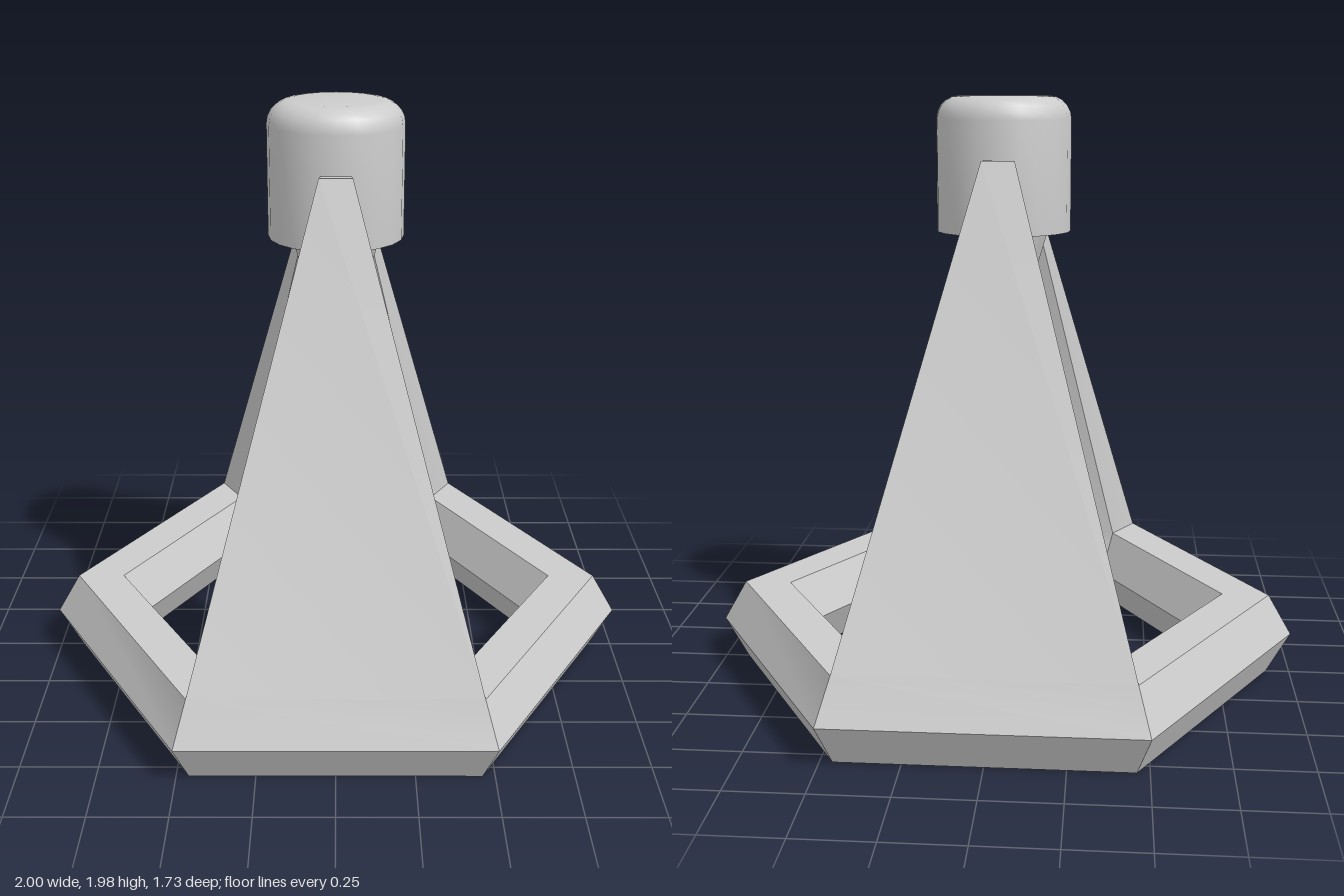
import * as THREE from 'three';
import { toCreasedNormals } from 'three/addons/utils/BufferGeometryUtils.js';

const grey = (extra = {}) => new THREE.MeshStandardMaterial({ color: 0xcccccc, ...extra });

// Hexagonal cross-section of the base ring: [radius, height], counter-clockwise from the outer edge
const SECTION = [[1, 0.14], [0.92, 0.28], [0.76, 0.28], [0.68, 0.14], [0.76, 0], [0.92, 0]];
const TOP_SIDE = 1; // side of the section that the legs grow from

function frameGeometry() {
  const positions = [];
  const quad = (a, b, c, d) => {
    for (const p of [a, b, c, a, c, d]) positions.push(...p);
  };
  const corner = (k, j) => {
    const a = (k * Math.PI) / 3;
    const [r, y] = SECTION[j % 6];
    return [r * Math.cos(a), y, r * Math.sin(a)];
  };

  for (let k = 0; k < 6; k++) {
    const hasLeg = k % 3 === 1; // front and back sides
    for (let j = 0; j < 6; j++) {
      if (hasLeg && j === TOP_SIDE) continue;
      quad(corner(k, j), corner(k, j + 1), corner(k + 1, j + 1), corner(k + 1, j));
    }
    if (!hasLeg) continue;

    // Tapered leg drawn up from the top face of this side
    const s = k === 1 ? 1 : -1;
    const base = [corner(k, 1), corner(k + 1, 1), corner(k + 1, 2), corner(k, 2)];
    const top = [[0.053, 0.248], [-0.053, 0.248], [-0.045, 0.207], [0.045, 0.207]]
      .map(([x, z]) => [s * x, 1.775, s * z]);
    for (let i = 0; i < 4; i++) {
      const n = (i + 1) % 4;
      quad(base[i], top[i], top[n], base[n]);
    }
    quad(top[0], top[3], top[2], top[1]);
  }

  const geometry = new THREE.BufferGeometry();
  geometry.setAttribute('position', new THREE.Float32BufferAttribute(positions, 3));
  return toCreasedNormals(geometry, 0.8);
}

function lathe(profile, sides) {
  return new THREE.LatheGeometry(profile.map(([r, y]) => new THREE.Vector2(r, y)), sides);
}

export function createModel() {
  const model = new THREE.Group();
  model.name = 'tripodStand';
  const add = (name, geometry, material) => {
    const mesh = new THREE.Mesh(geometry, material);
    mesh.name = name;
    model.add(mesh);
  };

  // Hexagonal base ring with the two legs
  add('baseRingAndLegs', frameGeometry(), grey());

  // Head: cylinder with a rounded top rim
  const R = 0.222, BOTTOM = 1.535, TOP = 1.975, BEVEL = 0.075;
  const head = [[0, BOTTOM], [R, BOTTOM]];
  for (let i = 0; i <= 5; i++) {
    const a = (i / 5) * Math.PI / 2;
    head.push([R - BEVEL + BEVEL * Math.cos(a), TOP - BEVEL + BEVEL * Math.sin(a)]);
  }
  head.push([0, TOP]);
  add('head', toCreasedNormals(lathe(head, 20), 0.6), grey());

  // Tapered nozzle with a bore
  const nozzle = [[0, 1.5], [0.04, 1.5], [0.04, 1.34], [0.09, 1.34], [0.148, 1.54]];
  add('nozzle', lathe(nozzle, 12), grey({ flatShading: true }));

  return model;
}
